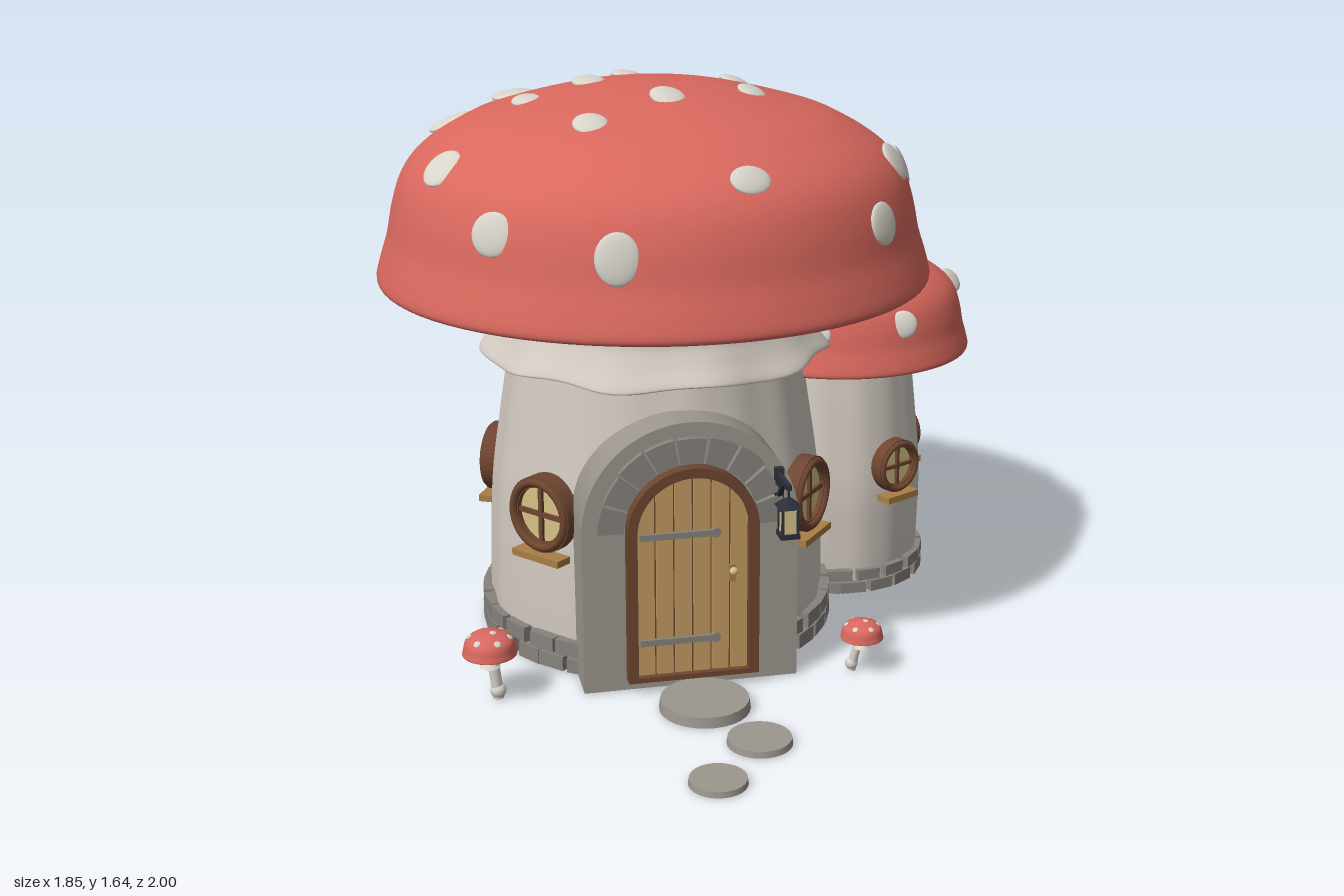
import * as THREE from 'three';
import { mergeVertices } from 'three/addons/utils/BufferGeometryUtils.js';

const mat = (name, color, side = THREE.FrontSide) => {
  const m = new THREE.MeshStandardMaterial({ color, side });
  m.name = name;
  return m;
};
const V2 = (x, y) => new THREE.Vector2(x, y);
const curve = (pts, n = 40) => new THREE.SplineCurve(pts.map(p => V2(...p))).getPoints(n);

export function createModel() {
  const root = new THREE.Group();
  root.name = 'mushroomHouse';
  const red = mat('capRed', 0xd9685e), cream = mat('plasterCream', 0xd0c8bf, THREE.DoubleSide);
  const white = mat('spotWhite', 0xd8d4ca), stone = mat('stoneGrey', 0x9c968e);
  const brick = mat('brickGrey', 0x87827c), brown = mat('darkWood', 0x6e4530);
  const wood = mat('lightWood', 0xc39a62), glass = mat('windowGlass', 0xd6c286);
  const iron = mat('blackIron', 0x2e2e3c), gold = mat('sillWood', 0xa97f45);

  let seed = 7;
  const rnd = () => (seed = (seed * 16807) % 2147483647) / 2147483647;
  const add = (parent, name, geo, material, x = 0, y = 0, z = 0) => {
    const m = new THREE.Mesh(geo, material);
    m.name = name;
    m.position.set(x, y, z);
    parent.add(m);
    return m;
  };
  const group = (parent, name, x = 0, y = 0, z = 0) => {
    const g = new THREE.Group();
    g.name = name;
    g.position.set(x, y, z);
    parent.add(g);
    return g;
  };
  const box = (w, h, d) => new THREE.BoxGeometry(w, h, d);
  const cyl = (a, b, h, n = 24) => new THREE.CylinderGeometry(a, b, h, n);
  const extrude = (shape, depth) => new THREE.ExtrudeGeometry(shape, { depth, bevelEnabled: false, curveSegments: 24 });

  // Lathe whose radius and height ripple around the axis
  const rippled = (pts, rule) => {
    let g = new THREE.LatheGeometry(pts, 108);
    const p = g.attributes.position;
    for (let i = 0; i < p.count; i++) {
      const x = p.getX(i), z = p.getZ(i), a = Math.atan2(x, z);
      const [k, dy] = rule(a, p.getY(i));
      p.setXYZ(i, x * k, p.getY(i) + dy, z * k);
    }
    g.deleteAttribute('uv');
    g.deleteAttribute('normal');
    g = mergeVertices(g, 1e-5);
    g.computeVertexNormals();
    return g;
  };

  // Cap: red dome, pale underside, and spots lying on the dome
  const dome = curve([[0.74, 1.078], [0.785, 1.068], [0.803, 1.085], [0.79, 1.14], [0.768, 1.21], [0.748, 1.305],
    [0.715, 1.39], [0.66, 1.453], [0.565, 1.513], [0.464, 1.555], [0.22, 1.615], [0, 1.633]], 56);
  const under = curve([[0.3, 1.15], [0.45, 1.15], [0.62, 1.135], [0.70, 1.105], [0.74, 1.078]], 16);
  const cap = (parent, name, sx, sy, spots) => {
    const g = group(parent, name);
    const scaled = pts => pts.map(p => V2(Math.max(0, p.x * sx), (p.y - 1.07) * sy));
    const d = scaled(dome);
    add(g, 'capDome', new THREE.LatheGeometry(d, 80), red);
    add(g, 'capUnderside', new THREE.LatheGeometry(scaled(under), 80), cream);
    for (const [x, z, s, w = s] of spots) {
      const r = Math.hypot(x, z);
      let i = d.length - 2;
      while (i > 10 && d[i].x < r) i--;
      const a = d[i], b = d[i + 1], t = THREE.MathUtils.clamp((a.x - r) / (a.x - b.x), 0, 1);
      const n = new THREE.Vector3(x / r * (b.y - a.y), a.x - b.x, z / r * (b.y - a.y)).normalize();
      const m = add(g, 'capSpot', new THREE.SphereGeometry(1, 20, 12), white, x, a.y + (b.y - a.y) * t, z);
      m.up.set(0, 1, 0);
      m.lookAt(m.position.clone().add(n));
      m.scale.set(w, s, Math.min(0.014, s * 0.3));
    }
    return g;
  };

  // Ring of two uneven brick courses
  const brickRing = (parent, r, h, n) => {
    const g = group(parent, 'brickFooting');
    add(g, 'mortar', cyl(r - 0.004, r, h * 1.9, 64), stone, 0, h * 0.95, 0);
    for (let row = 0; row < 2; row++) for (let i = 0; i < n; i++) {
      const a = (i + row * 0.5 + (rnd() - 0.5) * 0.2) / n * Math.PI * 2, w = 2 * Math.PI * r / n;
      const b = add(g, 'brick', box(w * (0.82 + rnd() * 0.12), h * (0.84 + rnd() * 0.1), 0.04), brick,
        Math.sin(a) * r, h * (row + 0.5), Math.cos(a) * r);
      b.rotation.y = a;
    }
  };

  // Round window with cross bars and sill, facing outward at an angle
  const roundWindow = (parent, deg, wallR, y, r) => {
    const a = deg * Math.PI / 180;
    const g = group(parent, 'roundWindow', Math.sin(a) * wallR, y, Math.cos(a) * wallR);
    g.rotation.y = a;
    const ring = new THREE.Shape().absarc(0, 0, r, 0, Math.PI * 2);
    ring.holes.push(new THREE.Path().absarc(0, 0, r * 0.72, 0, Math.PI * 2, true));
    add(g, 'windowFrame', extrude(ring, 0.07), brown, 0, 0, -0.04);
    add(g, 'frameBead', new THREE.TorusGeometry(r * 0.86, r * 0.11, 8, 40), brown, 0, 0, 0.03);
    add(g, 'windowPane', cyl(r * 0.74, r * 0.74, 0.03, 36), glass).rotation.x = Math.PI / 2;
    add(g, 'verticalBar', box(r * 0.12, r * 1.46, 0.02), brown, 0, 0, 0.015);
    add(g, 'horizontalBar', box(r * 1.46, r * 0.12, 0.02), brown, 0, 0, 0.015);
    add(g, 'windowSill', box(r * 1.55, 0.02, 0.08), gold, 0, -r - 0.012, 0.012);
  };

  // Main tower
  const main = group(root, 'mainTower', -0.122, 0, -0.197);
  const flute = n => a => [1 + 0.009 * Math.sin(n * a) + 0.004 * Math.sin(2 * n * a + 1), 0];
  add(main, 'towerWall', rippled(curve([[0.505, 0], [0.503, 0.2], [0.49, 0.45], [0.462, 0.65], [0.43, 0.86], [0.42, 1.0], [0.415, 1.17]]), flute(9)), cream);
  add(main, 'towerFloor', cyl(0.5, 0.5, 0.01, 48), cream, 0, 0.008, 0);
  add(main, 'plasterSkirt', rippled(curve([[0.44, 0.875], [0.5, 0.856], [0.507, 0.866], [0.475, 0.905], [0.447, 0.95], [0.438, 0.975], [0.41, 0.978]], 24),
    (a, y) => { const k = (0.98 - y) / 0.12; return [1 + 0.018 * k * Math.sin(11 * a), 0.008 * k * Math.sin(7 * a + 1)]; }), cream);
  brickRing(main, 0.51, 0.05, 32);
  for (const [deg, r, y, s] of [[50, 0.492, 0.462, 0.112], [-50, 0.492, 0.462, 0.112], [-117, 0.492, 0.45, 0.105], [-159, 0.47, 0.64, 0.078]])
    roundWindow(main, deg, r, y, s);
  // Spot positions on the ground plan, then size
  const spots = [[0, -0.945, 0.06, 0.085], [-0.18, -0.88, 0.052], [-0.52, -0.85, 0.055], [-0.495, -0.72, 0.058],
    [-0.675, -0.67, 0.055], [-0.68, -0.435, 0.068, 0.052], [-0.835, -0.415, 0.055], [-0.49, -0.48, 0.064], [-0.485, -0.2, 0.042],
    [-0.295, -0.27, 0.05], [-0.16, -0.43, 0.044], [0.16, -0.385, 0.046], [0.16, -0.605, 0.056], [0.35, -0.52, 0.06, 0.05],
    [0.305, -0.785, 0.062, 0.07], [0.145, -0.095, 0.044], [-0.12, 0.02, 0.052], [-0.355, 0.145, 0.05], [-0.745, 0.045, 0.064, 0.055],
    [-0.645, 0.33, 0.06], [-0.35, 0.52, 0.07, 0.06], [0.015, 0.44, 0.045, 0.06], [0.41, 0.33, 0.06], [0.52, 0.07, 0.06], [0.595, -0.1, 0.06, 0.065], [0.575, -0.355, 0.03, 0.04]];
  cap(main, 'mainCap', 1, 1, spots.map(([x, z, ...s]) => [x + 0.122, z + 0.197, ...s])).position.y = 1.07;

  // Side tower
  const side = group(root, 'sideTower', 0.505, 0, -0.447);
  add(side, 'towerWall', rippled(curve([[0.27, 0], [0.276, 0.2], [0.276, 0.35], [0.257, 0.55], [0.236, 0.74], [0.228, 0.83]]), flute(7)), cream);
  add(side, 'towerFloor', cyl(0.268, 0.268, 0.01, 40), cream, 0, 0.008, 0);
  brickRing(side, 0.272, 0.04, 19);
  roundWindow(side, 28, 0.27, 0.405, 0.084);
  roundWindow(side, 112, 0.27, 0.395, 0.08);
  cap(side, 'sideCap', 0.52, 0.567, [[0.245, 0, 0.036], [0.37, 0.02, 0.042], [0.26, -0.3, 0.042], [0.105, 0.37, 0.042],
    [0.15, 0.257, 0.036], [-0.27, -0.27, 0.042], [-0.15, 0.36, 0.034]]).position.y = 0.745;

  // Arched porch
  const porch = group(root, 'porch', -0.126, 0, 0);
  const SPRING = 0.475;
  const arch = (r, y0) => new THREE.Shape().moveTo(-r, y0).lineTo(r, y0).lineTo(r, SPRING).absarc(0, SPRING, r, 0, Math.PI);
  add(porch, 'porchBlock', extrude(arch(0.306, 0), 0.35), stone);
  const count = 9;
  for (let i = 0; i < count; i++) {
    const a = i / count * Math.PI + 0.018, b = (i + 1) / count * Math.PI - 0.018, out = 0.262 + rnd() * 0.008;
    const s = new THREE.Shape().absarc(0, SPRING, out, a, b).absarc(0, SPRING, 0.192, b, a, true);
    add(porch, 'archStone', extrude(s, 0.03), brick, 0, 0, 0.34);
  }

  // Door with frame, planks, hinges and knob
  const door = group(porch, 'door');
  const frame = arch(0.186, 0.035);
  frame.holes.push(arch(0.158, 0.05));
  add(door, 'doorFrame', extrude(frame, 0.05), brown, 0, 0, 0.34);
  add(door, 'doorBacking', extrude(arch(0.17, 0.04), 0.02), brown, 0, 0, 0.34);
  const planks = 6, pw = 0.316 / planks;
  for (let i = 0; i < planks; i++) {
    const x0 = -0.158 + i * pw + 0.003, x1 = x0 + pw - 0.006;
    const s = new THREE.Shape().moveTo(x0, 0.05).lineTo(x1, 0.05);
    for (let k = 0; k <= 6; k++) {
      const x = x1 + (x0 - x1) * k / 6;
      s.lineTo(x, SPRING + Math.sqrt(0.158 ** 2 - x * x));
    }
    add(door, 'doorPlank', extrude(s, 0.02), wood, 0, 0, 0.352);
  }
  for (const y of [0.15, 0.465]) {
    add(door, 'hingeStrap', box(0.21, 0.018, 0.012), brick, -0.045, y, 0.376);
    add(door, 'hingeEnd', cyl(0.014, 0.014, 0.012, 16), brick, 0.064, y, 0.376).rotation.x = Math.PI / 2;
  }
  add(door, 'knobPlate', box(0.018, 0.05, 0.008), gold, 0.112, 0.34, 0.375);
  add(door, 'doorKnob', new THREE.SphereGeometry(0.012, 14, 10), glass, 0.112, 0.35, 0.39);

  // Hanging lantern
  const lamp = group(root, 'lantern', 0.12, 0, 0);
  add(lamp, 'wallPlate', box(0.025, 0.09, 0.02), iron, 0, 0.59, 0.36);
  add(lamp, 'bracketArm', box(0.014, 0.014, 0.12), iron, 0, 0.615, 0.415);
  add(lamp, 'bracketBrace', box(0.012, 0.012, 0.085), iron, 0, 0.585, 0.392).rotation.x = -0.8;
  add(lamp, 'hook', cyl(0.004, 0.004, 0.04, 8), iron, 0, 0.597, 0.467);
  add(lamp, 'lanternRoof', cyl(0.01, 0.046, 0.025, 4), iron, 0, 0.572, 0.467).rotation.y = Math.PI / 4;
  add(lamp, 'lanternGlass', box(0.042, 0.075, 0.042), glass, 0, 0.523, 0.467);
  add(lamp, 'lanternBase', box(0.054, 0.014, 0.054), iron, 0, 0.48, 0.467);
  for (const sx of [-1, 1]) for (const sz of [-1, 1])
    add(lamp, 'lanternPost', box(0.007, 0.08, 0.007), iron, sx * 0.021, 0.523, 0.467 + sz * 0.021);

  // Stepping stones
  for (const [x, z, r, h] of [[-0.12, 0.5, 0.127, 0.03], [-0.02, 0.73, 0.089, 0.018], [-0.175, 0.918, 0.078, 0.016]]) {
    add(root, 'steppingStone', cyl(r * 0.97, r, h, 28), stone, x, h / 2, z);
  }

  // Little mushrooms
  const sprout = (x, z, bx, bz, y, r, h) => {
    const g = group(root, 'littleMushroom');
    const path = new THREE.CatmullRomCurve3([[bx, 0, bz], [bx + (x - bx) * 0.35, y * 0.5, bz + (z - bz) * 0.35], [x, y + h * 0.3, z]].map(p => new THREE.Vector3(...p)));
    add(g, 'sproutStem', new THREE.TubeGeometry(path, 12, r * 0.21, 12), white);
    add(g, 'sproutFoot', new THREE.SphereGeometry(r * 0.3, 12, 8), white, bx, r * 0.3, bz);
    add(g, 'sproutCollar', cyl(r * 0.22, r * 0.38, 0.012, 16), white, x, y * 0.75, z);
    const k = r / 0.8, around = [[0.1, 0.1]];
    for (let i = 0; i < 6; i++) around.push([Math.sin(i * 1.05 + 0.3) * 0.6, Math.cos(i * 1.05 + 0.3) * 0.6]);
    cap(g, 'sproutCap', k, h / 0.563, around.map(([u, v]) => [u * k, v * k, r * 0.13])).position.set(x, y, z);
  };
  sprout(-0.69, 0.32, -0.67, 0.32, 0.137, 0.076, 0.066);
  sprout(0.367, 0.37, 0.342, 0.355, 0.104, 0.061, 0.054);

  return root;
}
